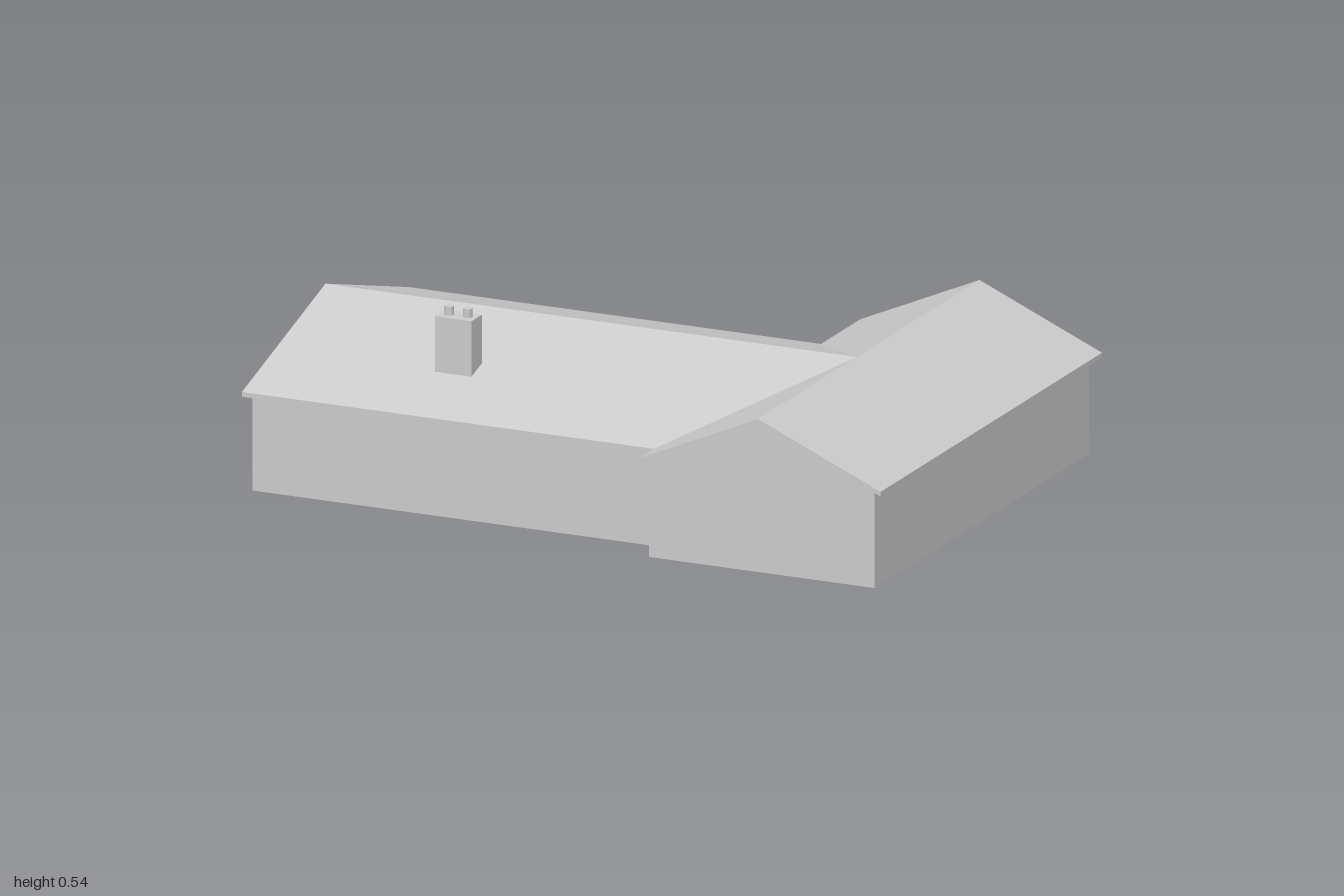
import * as THREE from 'three';

const material = new THREE.MeshStandardMaterial({ color: 0xcccccc, side: THREE.DoubleSide, flatShading: true });
const EAVE = 0.288, RIDGE = 0.45, THICK = 0.014;

function add(parent, name, geometry, x = 0, y = 0, z = 0) {
  const mesh = new THREE.Mesh(geometry, material);
  mesh.name = name;
  mesh.position.set(x, y, z);
  parent.add(mesh);
  return mesh;
}

// Box given by its lower and upper corners
function box(parent, name, [x0, y0, z0], [x1, y1, z1]) {
  return add(parent, name, new THREE.BoxGeometry(x1 - x0, y1 - y0, z1 - z0),
    (x0 + x1) / 2, (y0 + y1) / 2, (z0 + z1) / 2);
}

function polygon(points) {
  return new THREE.Shape(points.map(([x, y]) => new THREE.Vector2(x, y)));
}

function rectangle(x0, x1, y0, y1) {
  return polygon([[x0, y0], [x1, y0], [x1, y1], [x0, y1]]);
}

// Flat wall facing the front or back
function wall(parent, name, z, points, holes = []) {
  const shape = polygon(points);
  shape.holes = holes;
  return add(parent, name, new THREE.ShapeGeometry(shape), 0, 0, z);
}

// Flat wall facing a side; its points are [z, y]
function sideWall(parent, name, x, points) {
  const mesh = wall(parent, name, 0, points.map(([z, y]) => [-z, y]));
  mesh.rotation.y = Math.PI / 2;
  mesh.position.x = x;
  return mesh;
}

// L-shaped roof slab with valleys where the two ridges meet
function roofGeometry() {
  const p = {
    A: [-1, EAVE, 0.62], B: [0.26, EAVE, 0.62], C: [0.26, EAVE, 0.72], D: [0.625, RIDGE, 0.72],
    E: [1, EAVE, 0.72], F: [1, EAVE, -0.725], G: [0.625, RIDGE, -0.725], H: [0.26, EAVE, -0.725],
    I: [0.26, EAVE, -0.47], J: [-1, EAVE, -0.47], K: [-1, RIDGE, 0.075], R: [0.625, RIDGE, 0.075],
  };
  const low = ([x, y, z]) => [x, y - THICK, z];
  const positions = [];
  const quad = (a, b, c, d) => positions.push(...a, ...b, ...c, ...a, ...c, ...d);
  for (const face of ['ABRK', 'KRIJ', 'CDRB', 'IRGH', 'DEFG']) {
    const corners = [...face].map((k) => p[k]);
    quad(...corners);
    quad(...corners.map(low).reverse());
  }
  const rim = [...'ABCDEFGHIJK'].map((k) => p[k]);
  rim.forEach((a, i) => {
    const b = rim[(i + 1) % rim.length];
    quad(low(a), low(b), b, a);
  });
  const geometry = new THREE.BufferGeometry();
  geometry.setAttribute('position', new THREE.Float32BufferAttribute(positions, 3));
  geometry.computeVertexNormals();
  return geometry;
}

// Door set back from a back wall, with jambs and a lintel
function recessedDoor(parent, name, x0, x1, h, z, depth) {
  const group = new THREE.Group();
  group.name = name;
  const t = 0.006, front = z + 0.001, back = z + depth;
  box(group, 'doorPanel', [x0, 0, back], [x1, h, back + t]);
  box(group, 'jamb', [x0 - t, 0, front], [x0, h, back + t]);
  box(group, 'jamb', [x1, 0, front], [x1 + t, h, back + t]);
  box(group, 'lintel', [x0 - t, h, front], [x1 + t, h + t, back + t]);
  parent.add(group);
}

// Window with a raised frame, recessed pane and sill
function windowUnit(parent, x0, x1, y0, y1, z) {
  const group = new THREE.Group();
  group.name = 'window';
  const f = 0.013;
  const frame = rectangle(x0, x1, y0, y1);
  frame.holes = [rectangle(x0 + f, x1 - f, y0 + f, y1 - f)];
  add(group, 'windowFrame', new THREE.ExtrudeGeometry(frame, { depth: 0.022, bevelEnabled: false }), 0, 0, z - 0.008);
  box(group, 'windowPane', [x0 + f, y0 + f, z + 0.008], [x1 - f, y1 - f, z + 0.012]);
  box(group, 'windowSill', [x0 - 0.006, y0 - 0.008, z - 0.018], [x1 + 0.006, y0 + 0.005, z + 0.002]);
  parent.add(group);
}

export function createModel() {
  const house = new THREE.Group();
  house.name = 'house';
  const top = 0.284, peak = RIDGE - THICK + 0.003;
  const west = -0.977, inner = 0.283, east = 0.972;
  const front = 0.6, back = -0.45, wingFront = 0.7, wingBack = -0.7;

  add(house, 'roof', roofGeometry());

  // Main block walls
  wall(house, 'mainFrontWall', front, [[west, 0], [inner, 0], [inner, top], [west, top]]);
  sideWall(house, 'mainGableWall', west, [[front, 0], [front, top], [0.075, peak], [back, top], [back, 0]]);
  const windows = [
    [-0.085, 0.028, 0.065, 0.222],
    [-0.295, -0.18, 0.065, 0.222],
    [-0.89, -0.675, 0.07, 0.222],
  ];
  const door = { x0: -0.6, x1: -0.44, h: 0.255 };
  wall(house, 'mainBackWall', back,
    [[west, 0], [door.x0, 0], [door.x0, door.h], [door.x1, door.h], [door.x1, 0], [inner, 0], [inner, top], [west, top]],
    windows.map(([x0, x1, y0, y1]) => rectangle(x0 + 0.005, x1 - 0.005, y0 + 0.005, y1 - 0.005)));
  windows.forEach((w) => windowUnit(house, ...w, back));
  recessedDoor(house, 'backDoor', door.x0, door.x1, door.h, back, 0.045);

  // Wing walls
  const gable = [[east, 0], [east, top], [0.625, peak], [inner, top], [inner, 0]];
  const garage = { x0: 0.353, x1: 0.885, h: 0.24 };
  wall(house, 'wingFrontWall', wingFront, gable);
  wall(house, 'wingBackWall', wingBack,
    [...gable, [garage.x0, 0], [garage.x0, garage.h], [garage.x1, garage.h], [garage.x1, 0]]);
  recessedDoor(house, 'garageDoor', garage.x0, garage.x1, garage.h, wingBack, 0.03);
  const strip = (z0, z1) => [[z0, 0], [z1, 0], [z1, top], [z0, top]];
  sideWall(house, 'wingSideWall', east, strip(wingBack, wingFront));
  sideWall(house, 'wingReturnWall', inner, strip(front, wingFront));
  sideWall(house, 'wingReturnWall', inner, strip(wingBack, back));

  // Chimney rising from the ground, with two pots
  box(house, 'chimney', [-0.51, 0, 0.337], [-0.398, 0.512, 0.407]);
  for (const x of [-0.482, -0.426]) {
    add(house, 'chimneyPot', new THREE.CylinderGeometry(0.013, 0.013, 0.025, 16), x, 0.5245, 0.372);
  }
  return house;
}
